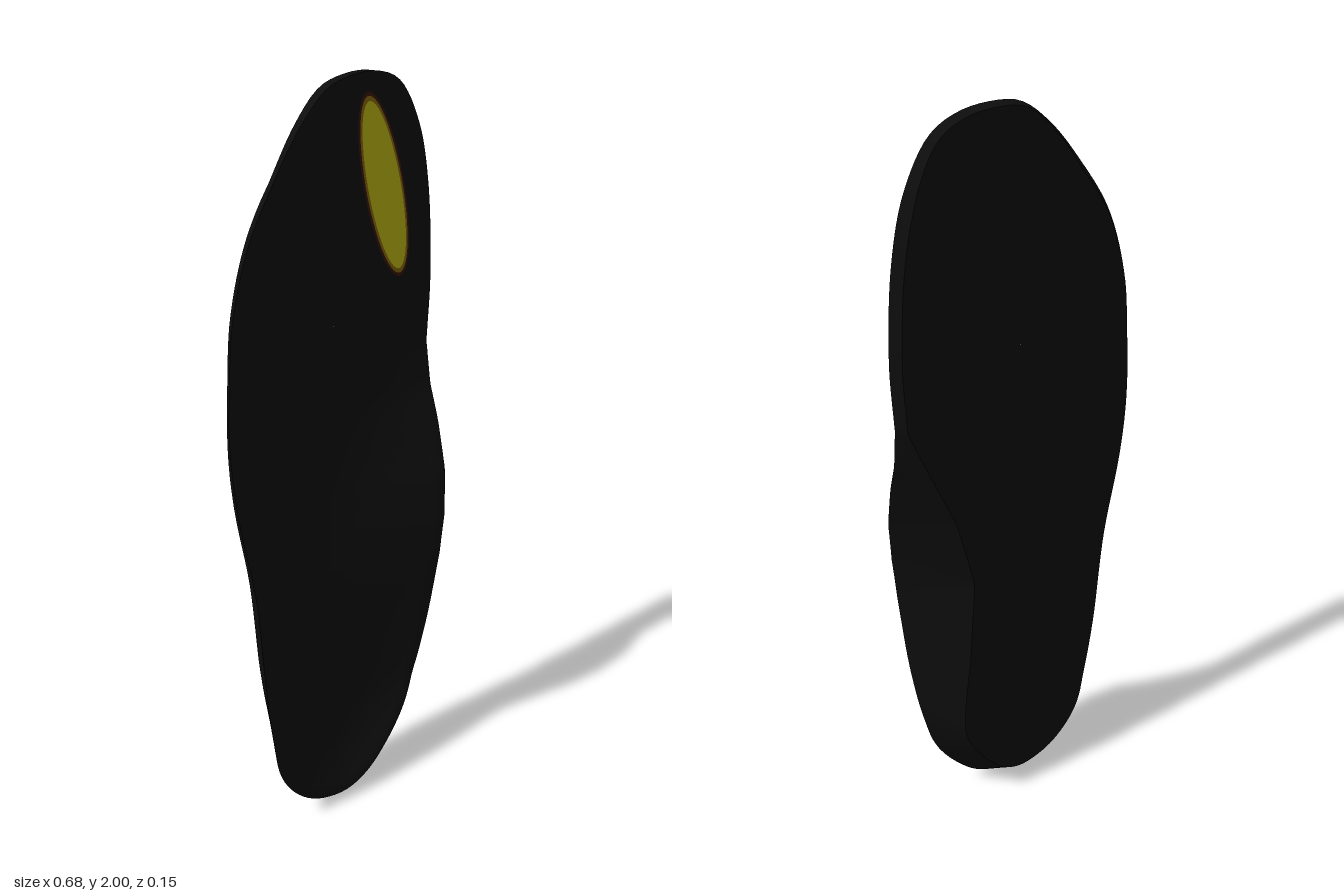
import * as THREE from 'three';

// Outline seen from the front: heel, up the inner side, over the toe, down the outer side
const OUTLINE = [
  [-0.01, 0], [0.07, 0.022], [0.143, 0.085], [0.206, 0.175], [0.24, 0.28], [0.265, 0.44], [0.286, 0.757],
  [0.312, 1.02], [0.333, 1.29], [0.339, 1.44], [0.323, 1.68], [0.286, 1.84], [0.22, 1.955], [0.15, 1.992],
  [0.06, 2], [-0.016, 1.985], [-0.095, 1.92], [-0.18, 1.81], [-0.265, 1.67], [-0.317, 1.5], [-0.333, 1.34],
  [-0.343, 1.13], [-0.333, 0.97], [-0.307, 0.757], [-0.296, 0.49], [-0.28, 0.333], [-0.254, 0.185],
  [-0.2, 0.095], [-0.12, 0.03],
];
const BACK = -0.075;

// Tables of [y, value]
const RIM_IN = [[0, 0.015], [0.28, 0.018], [0.52, 0.05], [0.68, 0.07], [0.79, 0.075], [0.915, 0.062],
  [1.05, 0.018], [1.14, -0.02], [1.25, -0.045], [2, -0.045]];
const RIM_OUT = [[0, 0.015], [0.28, 0.016], [0.5, 0.014], [0.75, 0], [1, -0.025], [1.25, -0.045], [2, -0.045]];
const INSET_IN = [[0, 0.07], [0.28, 0.07], [0.5, 0.12], [0.75, 0.15], [0.95, 0.12], [1.25, 0.018], [1.8, 0.018], [2, 0.004]];
const INSET_OUT = [[0, 0.07], [0.28, 0.065], [0.6, 0.05], [1, 0.028], [1.25, 0.02], [1.8, 0.018], [2, 0.004]];
const SLOPE_IN = [[0, 2.6], [0.3, 2.4], [0.6, 1.3], [0.8, 1.05], [1.1, 1.3], [2, 1.5]];
const FLOOR = [[0, -0.042], [0.9, -0.04], [1.25, -0.045], [2, -0.045]];
const SPINE = [[0, -0.01], [0.3, -0.02], [1, -0.02], [1.4, 0], [1.75, 0.05], [2, 0.06]];

function lookup(table, y) {
  let i = 1;
  while (i < table.length - 1 && table[i][0] < y) i++;
  const [y0, v0] = table[i - 1], [y1, v1] = table[i];
  return v0 + (v1 - v0) * THREE.MathUtils.clamp((y - y0) / (y1 - y0), 0, 1);
}

// Joins closed rings of points into one smooth surface
function skin(rings, material, name) {
  const n = rings[0].length, index = [];
  for (let i = 0; i < rings.length - 1; i++) {
    for (let j = 0; j < n; j++) {
      const a = i * n + j, b = i * n + (j + 1) % n;
      index.push(a, b, a + n, b, b + n, a + n);
    }
  }
  const geometry = new THREE.BufferGeometry().setFromPoints(rings.flat());
  geometry.setIndex(index);
  geometry.computeVertexNormals();
  const mesh = new THREE.Mesh(geometry, material);
  mesh.name = name;
  return mesh;
}

// Flat pointed oval patch
function patch(halfWidth, halfLength, color, z, name) {
  const shape = new THREE.Shape();
  shape.absellipse(0, 0, halfWidth, halfLength, 0, Math.PI * 2);
  const mesh = new THREE.Mesh(new THREE.ShapeGeometry(shape, 24), new THREE.MeshStandardMaterial({ color }));
  mesh.position.set(0.17, 1.705, z);
  mesh.rotation.z = 0.25;
  mesh.name = name;
  return mesh;
}

export function createModel() {
  const group = new THREE.Group();
  group.name = 'insole';
  const foam = new THREE.MeshStandardMaterial({ color: 0x0d0d0d });

  const curve = new THREE.CatmullRomCurve3(OUTLINE.map(([x, y]) => new THREE.Vector3(x, y, 0)), true, 'centripetal');
  const edge = curve.getSpacedPoints(200).slice(0, -1).map((p) => {
    const y = THREE.MathUtils.clamp(p.y, 0.25, 1.75);
    const center = new THREE.Vector3(lookup(SPINE, y), y, 0);
    const inner = p.x > center.x;
    return {
      p, center,
      rim: lookup(inner ? RIM_IN : RIM_OUT, p.y),
      inset: lookup(inner ? INSET_IN : INSET_OUT, p.y) / p.distanceTo(center),
      slope: inner ? lookup(SLOPE_IN, p.y) : 2.4,
    };
  });
  // Point a fraction f of the way from the outline to the spine
  const at = (e, f, z) => e.p.clone().lerp(e.center, f).setZ(z);

  // Cupped upper surface with a narrow flat rim
  const topRings = [0, 0.06, 0.12, 0.2, 0.3, 0.4, 0.5, 0.6, 0.7, 0.8, 0.9, 1].map((f) => edge.map((e) => {
    const point = at(e, f, 0), floor = lookup(FLOOR, point.y);
    const fall = Math.pow(1 - Math.max(0, f - 0.06) / 0.94, e.slope);
    return point.setZ(floor + (e.rim - floor) * fall);
  }));
  group.add(skin(topRings, foam, 'topSurface'));

  // Side wall leaning inward to the sole, deepest under the arch
  const wallRings = [0, 0.25, 0.5, 0.75, 1].map((t) => edge.map((e) =>
    at(e, e.inset * (1 - t), BACK + (e.rim - BACK) * t)));
  group.add(skin(wallRings, foam, 'sideWall'));

  // Flat underside
  const baseRings = [0, 0.5, 1].map((t) => edge.map((e) => at(e, 1 + (e.inset - 1) * t, BACK)));
  group.add(skin(baseRings, foam, 'underside'));

  // Coloured mark under the big toe, dark border to bright middle
  group.add(patch(0.064, 0.253, 0x3a1606, -0.0444, 'toeMarkBorder'));
  group.add(patch(0.058, 0.243, 0x8a6a0c, -0.0438, 'toeMarkEdge'));
  group.add(patch(0.052, 0.23, 0xc4bc14, -0.0432, 'toeMark'));
  return group;
}
